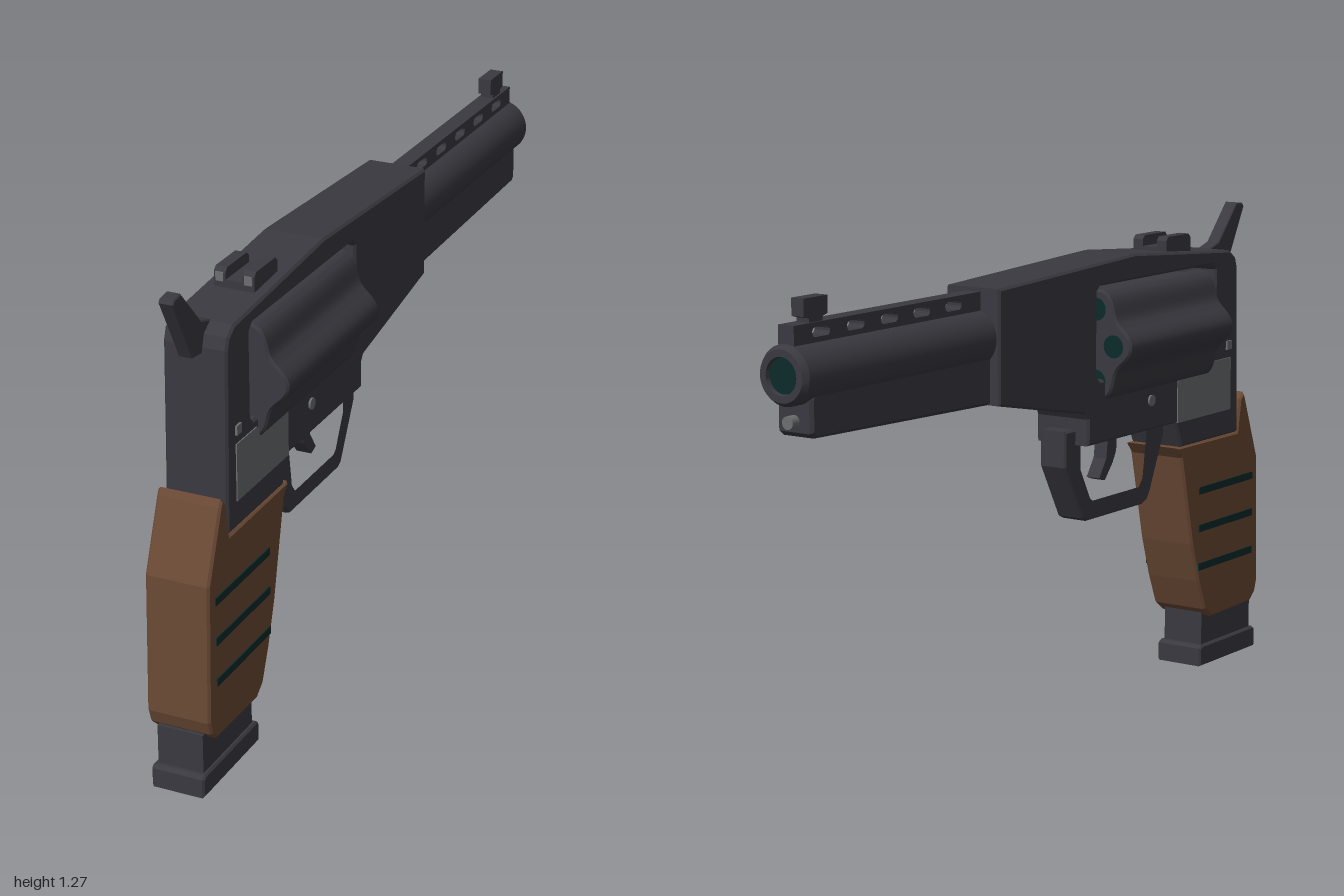
import * as THREE from 'three';
import { toCreasedNormals } from 'three/addons/utils/BufferGeometryUtils.js';

const mat = (name, color) => {
  const m = new THREE.MeshStandardMaterial({ color });
  m.name = name;
  return m;
};

export function createModel() {
  const model = new THREE.Group();
  const steel = mat('dark steel', 0x3a3940);
  const wood = mat('brown wood', 0x6b4a35);
  const grey = mat('plain grey metal', 0x6c6e70);
  const dark = mat('dark green', 0x0c2a2a);

  const add = (name, geo, material, x = 0, y = 0, z = 0) => {
    const mesh = new THREE.Mesh(geo, material);
    mesh.name = name;
    mesh.position.set(x, y, z);
    model.add(mesh);
    return mesh;
  };
  const vecs = (pts) => pts.map(([a, b]) => new THREE.Vector2(a, b));

  // Side profile of [z, y] points, extruded across x and centred
  const profile = (pts, halfWidth, bevel = 0, holes = []) => {
    const shape = new THREE.Shape(vecs(pts));
    holes.forEach((h) => shape.holes.push(new THREE.Path(vecs(h))));
    const depth = 2 * (halfWidth - bevel);
    const geo = new THREE.ExtrudeGeometry(shape, {
      depth, bevelEnabled: bevel > 0, bevelThickness: bevel,
      bevelSize: bevel, bevelOffset: -bevel, bevelSegments: 1,
    });
    geo.translate(0, 0, -depth / 2);
    geo.rotateY(-Math.PI / 2);
    return geo;
  };
  const box = (name, material, x, [y0, y1], [z0, z1], w) =>
    add(name, new THREE.BoxGeometry(w, y1 - y0, z1 - z0), material, x, (y0 + y1) / 2, (z0 + z1) / 2);
  // Rounded slot outline
  const slot = (zc, yc, hl, r) => {
    const pts = [];
    for (let i = 0; i < 12; i++) {
      const a = ((i + 0.5) / 12) * Math.PI * 2;
      pts.push([zc + Math.sign(Math.cos(a)) * (hl - r) + r * Math.cos(a), yc + r * Math.sin(a)]);
    }
    return pts;
  };

  // Frame with cylinder window
  add('frame', profile(
    [[0.87, 0.64], [0.86, 1.1], [0.85, 1.13], [0.82, 1.15], [0.6, 1.167], [0.345, 1.187], [-0.26, 1.16],
      [-0.26, 0.87], [0.12, 0.795], [0.13, 0.78], [0.13, 0.71], [0.55, 0.71], [0.58, 0.64]],
    0.081, 0.006,
    [[[0.745, 0.89], [0.73, 0.875], [0.185, 0.875], [0.17, 0.89], [0.17, 1.105], [0.185, 1.12], [0.73, 1.12], [0.745, 1.105]]],
  ), steel);

  // Fluted cylinder with six chambers
  const lobes = [];
  for (let i = 0; i < 96; i++) {
    const a = (i / 96) * Math.PI * 2;
    const r = 0.147 + 0.014 * Math.cos(6 * a);
    lobes.push([r * Math.cos(a), r * Math.sin(a)]);
  }
  const drum = new THREE.ExtrudeGeometry(new THREE.Shape(vecs(lobes)), {
    depth: 0.493, bevelEnabled: true, bevelThickness: 0.006, bevelSize: 0.006, bevelOffset: -0.006, bevelSegments: 1,
  });
  add('cylinder', toCreasedNormals(drum, 0.5), steel, 0, 0.963, 0.211);
  for (let i = 0; i < 6; i++) {
    const a = (i * Math.PI) / 3;
    const chamber = add('chamber', new THREE.CircleGeometry(0.03, 20), dark,
      0.108 * Math.cos(a), 0.963 + 0.108 * Math.sin(a), 0.203);
    chamber.rotation.y = Math.PI;
  }

  // Barrel, lathed with a chamfered muzzle and recessed bore
  const barrel = new THREE.LatheGeometry(vecs(
    [[0, 0], [0.072, 0], [0.072, 0.73], [0.062, 0.745], [0.045, 0.745], [0.042, 0.73], [0, 0.73]]), 40);
  barrel.rotateX(-Math.PI / 2);
  add('barrel', toCreasedNormals(barrel, 0.5), steel, 0, 1.035, -0.25);
  const bore = add('bore', new THREE.CircleGeometry(0.044, 28), dark, 0, 1.035, -0.984);
  bore.rotation.y = Math.PI;

  // Vented rib above and lug below the barrel
  add('ventedRib', profile([[-0.25, 1.07], [-0.25, 1.15], [-0.975, 1.15], [-0.975, 1.07]], 0.023, 0,
    [-0.37, -0.497, -0.623, -0.75, -0.877].map((z) => slot(z, 1.127, 0.033, 0.012))), steel);
  add('underLug', profile([[-0.25, 0.87], [-0.25, 1.0], [-0.94, 1.0], [-0.95, 0.98], [-0.95, 0.9], [-0.935, 0.888]],
    0.052, 0.008), steel);
  const rod = new THREE.CylinderGeometry(0.016, 0.016, 0.05, 16).rotateX(Math.PI / 2);
  add('ejectorRodTip', rod, grey, 0, 0.925, -0.95);

  // Sights
  add('frontSight', profile([[-0.865, 1.14], [-0.865, 1.16], [-0.847, 1.165], [-0.847, 1.207], [-0.933, 1.207],
    [-0.933, 1.165], [-0.915, 1.16], [-0.915, 1.14]], 0.018), steel);
  box('rearSightBase', steel, 0, [1.14, 1.182], [0.54, 0.66], 0.104);
  for (const s of [-1, 1]) {
    add('rearSightPost', profile([[0.54, 1.16], [0.54, 1.2], [0.55, 1.21], [0.65, 1.21], [0.66, 1.2], [0.66, 1.16]], 0.015),
      steel, s * 0.037);
    box('rearSightDot', grey, s * 0.037, [1.178, 1.2], [0.657, 0.663], 0.02);
  }

  // Hammer
  add('hammer', profile([[0.992, 1.252], [0.985, 1.262], [0.953, 1.266], [0.86, 1.165], [0.81, 1.15], [0.82, 1.08],
    [0.905, 1.09], [0.915, 1.11]], 0.019, 0.003), steel);

  // Trigger and guard
  add('triggerGuard', profile(
    [[0.555, 0.72], [0.555, 0.675], [0.49, 0.53], [0.475, 0.508], [0.455, 0.5], [0.185, 0.5], [0.165, 0.51],
      [0.085, 0.655], [0.085, 0.75], [0.14, 0.75], [0.14, 0.72]],
    0.04, 0.005,
    [[[0.475, 0.71], [0.455, 0.57], [0.435, 0.545], [0.21, 0.545], [0.195, 0.555], [0.15, 0.64], [0.15, 0.71]]],
  ), steel);
  add('trigger', profile([[0.355, 0.72], [0.352, 0.66], [0.335, 0.63], [0.298, 0.588], [0.272, 0.597], [0.305, 0.645],
    [0.315, 0.72]], 0.02), steel);

  // Grip
  add('grip', profile([[0.9, 0.748], [0.91, 0.73], [0.976, 0.555], [0.986, 0.2], [0.975, 0.165], [0.95, 0.142],
    [0.74, 0.138], [0.705, 0.165], [0.67, 0.25], [0.635, 0.36], [0.578, 0.61], [0.555, 0.64], [0.865, 0.64], [0.88, 0.73]],
  0.083, 0.006), wood);

  // Magazine
  box('magazineBody', steel, 0, [0.04, 0.16], [0.725, 0.98], 0.12);
  add('magazineBase', profile([[0.705, 0], [0.998, 0], [0.998, 0.05], [0.988, 0.058], [0.715, 0.058], [0.705, 0.05]],
    0.07, 0.005), steel);

  // Details on both sides
  for (const s of [-1, 1]) {
    for (const y of [0.505, 0.4, 0.292]) box('gripGroove', dark, s * 0.083, [y - 0.01, y + 0.01], [0.667, 0.947], 0.006);
    add('sidePlate', profile([[0.825, 0.71], [0.825, 0.855], [0.72, 0.855], [0.7, 0.835], [0.555, 0.83], [0.555, 0.71]],
      0.003), grey, s * 0.081);
    box('framePin', grey, s * 0.082, [0.878, 0.902], [0.802, 0.826], 0.009);
    const screw = new THREE.CylinderGeometry(0.015, 0.015, 0.009, 16).rotateZ(Math.PI / 2);
    add('frameScrew', screw, grey, s * 0.082, 0.79, 0.425);
  }
  return model;
}
